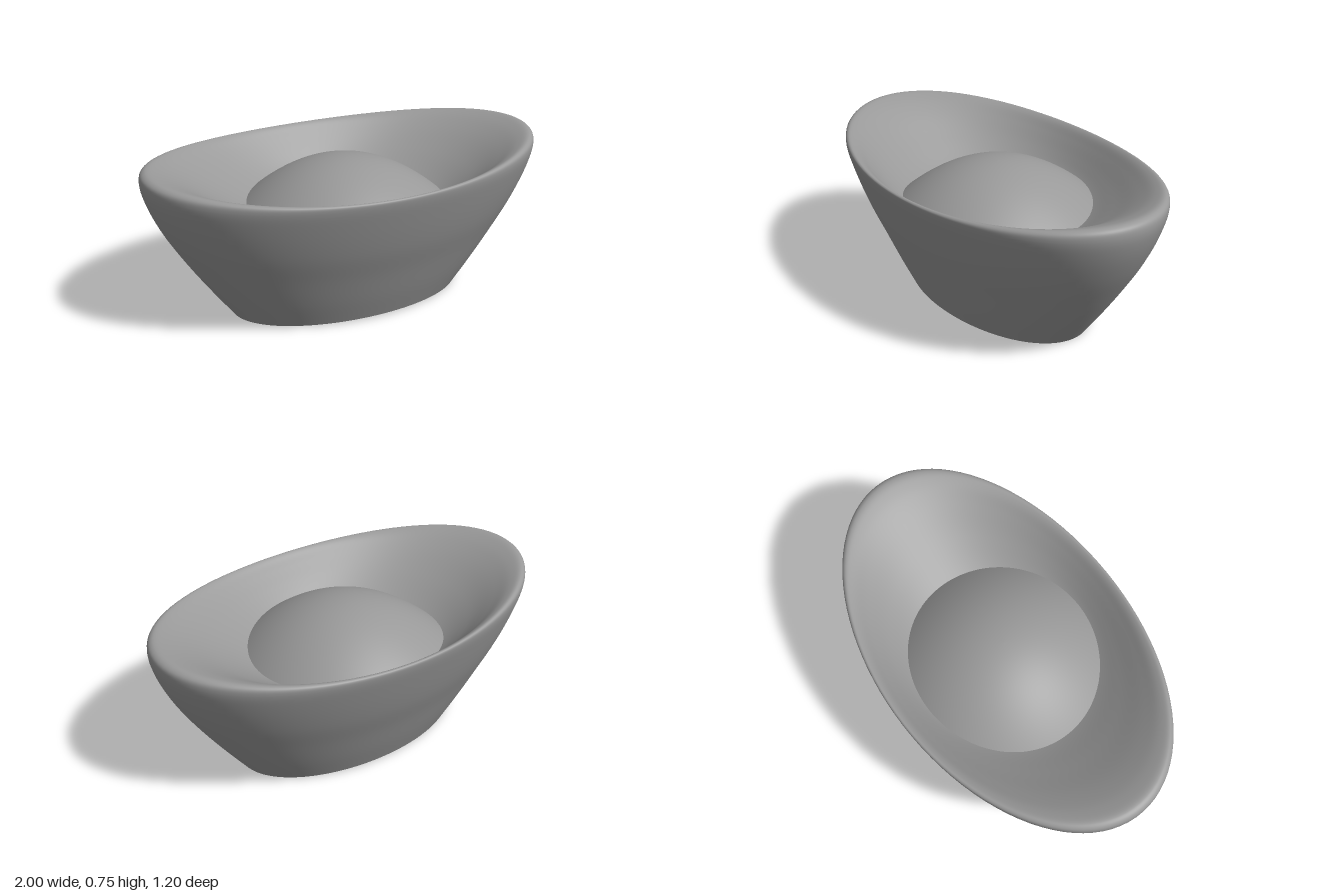
import * as THREE from 'three';

const SEGMENTS = 96;

// Elliptical ring stations: [x radius, y at the x ends, z radius, y at the z sides]
const SHELL = [
  [0.59, 0.0, 0.34, 0.01],
  [0.7, 0.145, 0.394, 0.13],
  [0.81, 0.3, 0.452, 0.27],
  [0.91, 0.46, 0.512, 0.41],
  [0.975, 0.6, 0.568, 0.57],
  [0.998, 0.69, 0.596, 0.665],
  [0.992, 0.73, 0.597, 0.685],
  [0.965, 0.745, 0.589, 0.69],
  [0.9, 0.728, 0.57, 0.679],
  [0.8, 0.678, 0.535, 0.635],
  [0.64, 0.577, 0.485, 0.57],
  [0.48, 0.48, 0.44, 0.52],
  [0.34, 0.42, 0.34, 0.44],
];

// Skin a list of ring stations; vertices are shared so the normals stay smooth
function loftRings(rings) {
  const positions = [];
  const index = [];
  rings.forEach(([ax, yEnd, az, ySide], r) => {
    for (let i = 0; i < SEGMENTS; i++) {
      const a = (i / SEGMENTS) * Math.PI * 2;
      const c = Math.cos(a);
      const s = Math.sin(a);
      positions.push(ax * c, yEnd * c * c + ySide * s * s, az * s);
      if (r === 0) continue;
      const j = (i + 1) % SEGMENTS;
      const lo = (r - 1) * SEGMENTS;
      const hi = r * SEGMENTS;
      index.push(lo + i, hi + i, lo + j, lo + j, hi + i, hi + j);
    }
  });
  const geometry = new THREE.BufferGeometry();
  geometry.setAttribute('position', new THREE.Float32BufferAttribute(positions, 3));
  geometry.setIndex(index);
  geometry.computeVertexNormals();
  return geometry;
}

// Smooth the stations with two matching curves, one per axis
function smoothStations(stations, count) {
  const ends = new THREE.CatmullRomCurve3(stations.map((p) => new THREE.Vector3(p[0], p[1], 0)), false, 'centripetal');
  const sides = new THREE.CatmullRomCurve3(stations.map((p) => new THREE.Vector3(p[2], p[3], 0)), false, 'centripetal');
  return Array.from({ length: count + 1 }, (_, k) => {
    const e = ends.getPoint(k / count);
    const s = sides.getPoint(k / count);
    return [e.x, e.y, s.x, s.y];
  });
}

// Parabolic cap, from just under the seam with the bowl up to the apex
function domeStations(count) {
  return Array.from({ length: count + 1 }, (_, k) => {
    const r = 1.05 * (1 - k / count);
    return [0.48 * r, 0.69 - 0.21 * r * r, 0.44 * r, 0.69 - 0.17 * r * r];
  });
}

export function createModel() {
  const group = new THREE.Group();
  group.name = 'ingot';
  const material = new THREE.MeshStandardMaterial({ color: 0x999999, side: THREE.DoubleSide });

  function add(name, geometry) {
    const mesh = new THREE.Mesh(geometry, material);
    mesh.name = name;
    group.add(mesh);
  }

  // Flared outer wall, rolled rim and inner bowl in one skin
  add('shell', loftRings(smoothStations(SHELL, 72)));

  // Flat underside, closed to the centre
  add('base', loftRings([[0, 0.004, 0, 0.004], SHELL[0]]));

  // Central dome rising from the bowl
  add('dome', loftRings(domeStations(24)));

  return group;
}
